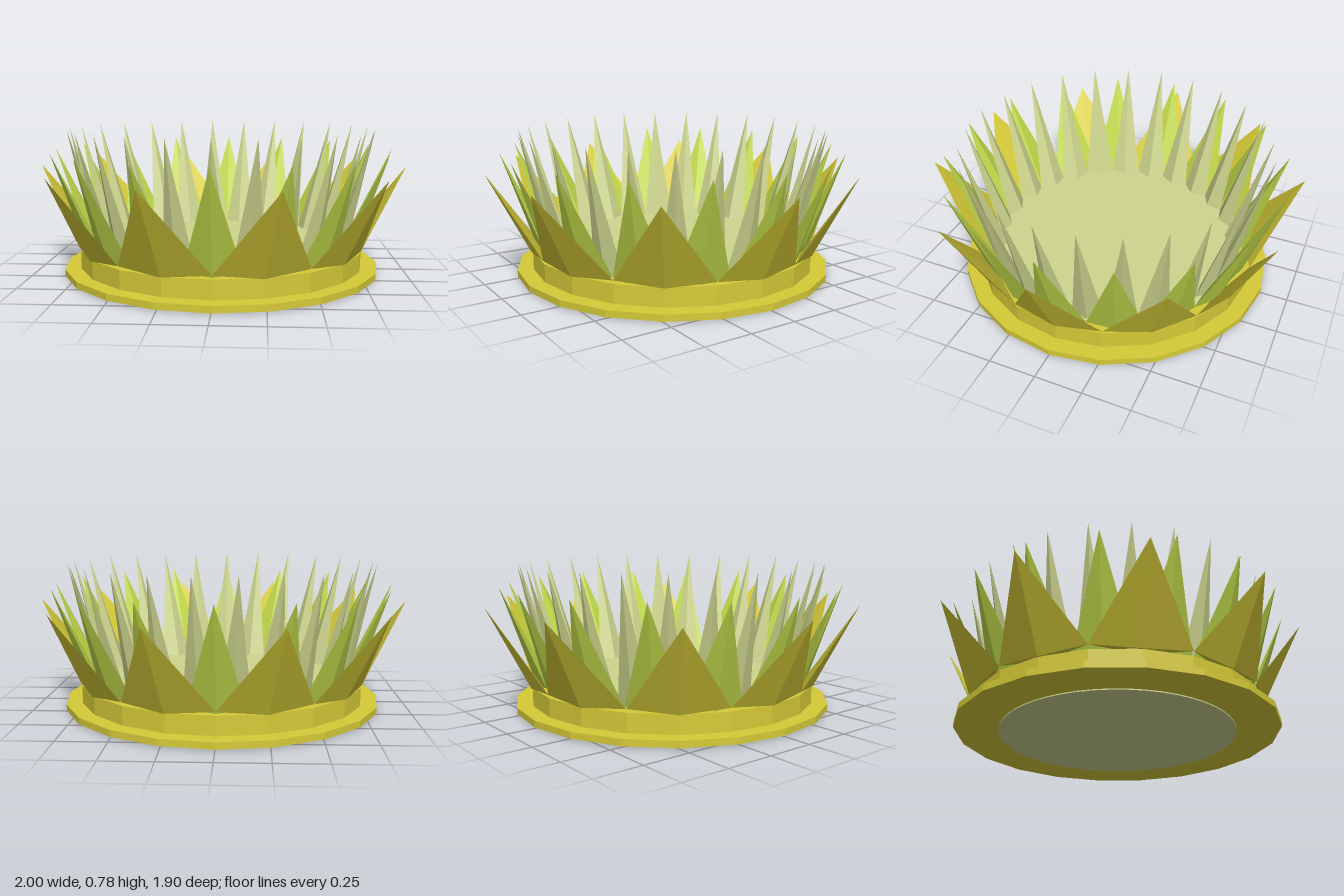
import * as THREE from 'three';

const material = (name, color) => {
  const m = new THREE.MeshStandardMaterial({ color, flatShading: true });
  m.name = name;
  return m;
};

// Pointed spike leaning outwards, with a kite-shaped foot; z is the radial direction
function spikeGeometry({ outer, inner, sideRadius, halfAngle, tipRadius, tipY, footY, sideY }) {
  const sx = sideRadius * Math.sin(halfAngle);
  const sz = sideRadius * Math.cos(halfAngle);
  const tip = [0, tipY, tipRadius];
  const foot = [[0, footY, outer], [sx, sideY, sz], [0, footY, inner], [-sx, sideY, sz]];
  const positions = [];
  foot.forEach((p, i) => positions.push(...p, ...foot[(i + 1) % 4], ...tip));
  // closing faces underneath
  positions.push(...foot[0], ...foot[2], ...foot[1], ...foot[0], ...foot[3], ...foot[2]);
  const geometry = new THREE.BufferGeometry();
  geometry.setAttribute('position', new THREE.Float32BufferAttribute(positions, 3));
  geometry.computeVertexNormals();
  return geometry;
}

// Ring of equal spikes; offset is in steps, starting at the front
function spikeRing(name, count, offset, mat, shape) {
  const ring = new THREE.Group();
  ring.name = name + 'Ring';
  const step = (Math.PI * 2) / count;
  const geometry = spikeGeometry({ ...shape, halfAngle: step / 2 });
  for (let i = 0; i < count; i++) {
    const spike = new THREE.Mesh(geometry, mat);
    spike.name = name;
    spike.rotation.y = (i + offset) * step;
    ring.add(spike);
  }
  return ring;
}

function disc(name, radius, y0, y1, sides, mat) {
  const mesh = new THREE.Mesh(new THREE.CylinderGeometry(radius, radius, y1 - y0, sides), mat);
  mesh.name = name;
  mesh.position.y = (y0 + y1) / 2;
  return mesh;
}

export function createModel() {
  const yellow = material('yellow', 0xd6cb38);
  const green = material('green', 0xc0d84a);
  const pale = material('pale green', 0xced58e);

  const model = new THREE.Group();
  model.name = 'spikedDish';

  // Base: foot flange, band and the pale core that shows above and below
  model.add(
    disc('flange', 0.855, 0.006, 0.04, 20, yellow),
    disc('band', 0.77, 0.04, 0.137, 20, yellow),
    disc('core', 0.625, 0, 0.138, 50, pale),
    disc('floor', 0.7, 0.137, 0.142, 50, pale)
  );

  // Three rows of spikes, from the outside in
  model.add(
    spikeRing('outerPetal', 10, 0.5, yellow, {
      outer: 0.778, inner: 0.715, sideRadius: 0.778, tipRadius: 1, tipY: 0.57, footY: 0.135, sideY: 0.157,
    }),
    spikeRing('middlePetal', 16, 0, green, {
      outer: 0.74, inner: 0.66, sideRadius: 0.72, tipRadius: 0.92, tipY: 0.665, footY: 0.137, sideY: 0.15,
    }),
    spikeRing('innerPetal', 25, 0, pale, {
      outer: 0.69, inner: 0.615, sideRadius: 0.66, tipRadius: 0.825, tipY: 0.777, footY: 0.14, sideY: 0.145,
    })
  );
  return model;
}
